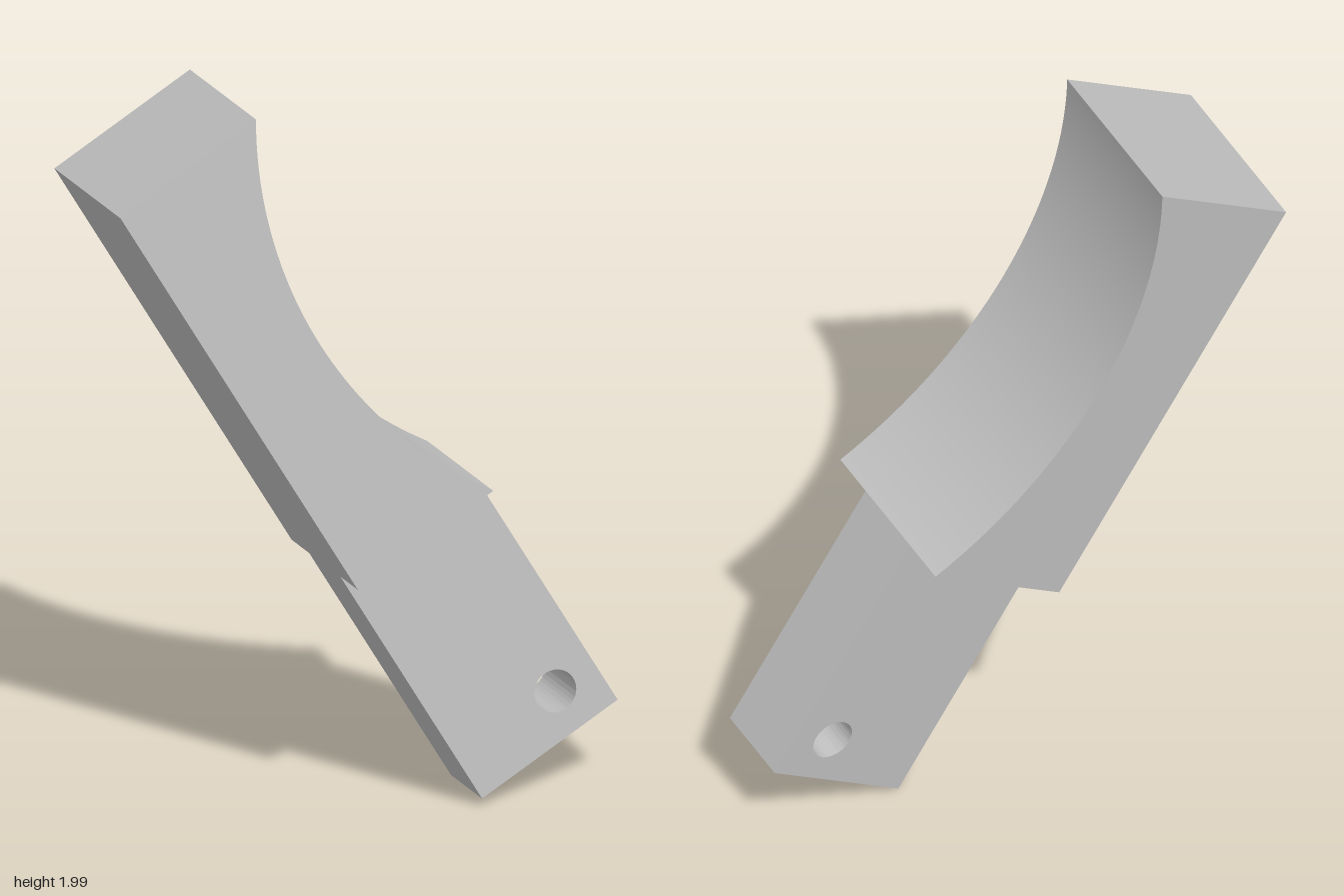
import * as THREE from 'three';
import { toCreasedNormals } from 'three/addons/utils/BufferGeometryUtils.js';

const WIDTH = 0.441, LENGTH = 2.01, SHOULDER = 0.752;
const DEPTH = 0.5, TAB_DEPTH = 0.235;

// Extrudes a side profile, centred on the part's mid plane
function plate(name, shape, depth, material) {
  const geometry = new THREE.ExtrudeGeometry(shape, { depth, bevelEnabled: false, curveSegments: 64 });
  geometry.translate(0, 0, -DEPTH / 2 - depth / 2);
  const mesh = new THREE.Mesh(toCreasedNormals(geometry, 0.5), material);
  mesh.name = name;
  return mesh;
}

export function createModel() {
  const grey = new THREE.MeshStandardMaterial({ color: 0xc0c0c0 });
  grey.name = 'light grey';
  const model = new THREE.Group();
  model.name = 'bracket';

  // Thick block with a concave arc cut along one side
  const halfChord = (LENGTH - SHOULDER) / 2;
  const radius = 1.207;
  const half = Math.asin(halfChord / radius);
  const block = new THREE.Shape();
  block.moveTo(0, SHOULDER);
  block.lineTo(WIDTH, SHOULDER);
  block.absarc(WIDTH + radius * Math.cos(half), SHOULDER + halfChord, radius, Math.PI + half, Math.PI - half, true);
  block.lineTo(0, LENGTH);
  block.closePath();
  model.add(plate('curvedBlock', block, DEPTH, grey));

  // Narrow mounting tab with a through hole
  const tab = new THREE.Shape();
  tab.moveTo(0, 0);
  tab.lineTo(WIDTH, 0);
  tab.lineTo(WIDTH, SHOULDER);
  tab.lineTo(0, SHOULDER);
  tab.closePath();
  const hole = new THREE.Path();
  hole.absarc(0.315, 0.125, 0.058, 0, Math.PI * 2, true);
  tab.holes.push(hole);
  model.add(plate('mountingTab', tab, TAB_DEPTH, grey));

  // Lean the whole bracket sideways and slightly backwards
  const yAxis = new THREE.Vector3(-0.489, 0.866, -0.097).normalize();
  const zAxis = new THREE.Vector3(0.873, 0.487, -0.034).cross(yAxis).normalize();
  const xAxis = new THREE.Vector3().crossVectors(yAxis, zAxis);
  model.quaternion.setFromRotationMatrix(new THREE.Matrix4().makeBasis(xAxis, yAxis, zAxis));
  model.position.set(0.298, 0.041, 0.39);

  const root = new THREE.Group();
  root.name = 'model';
  root.add(model);
  return root;
}
